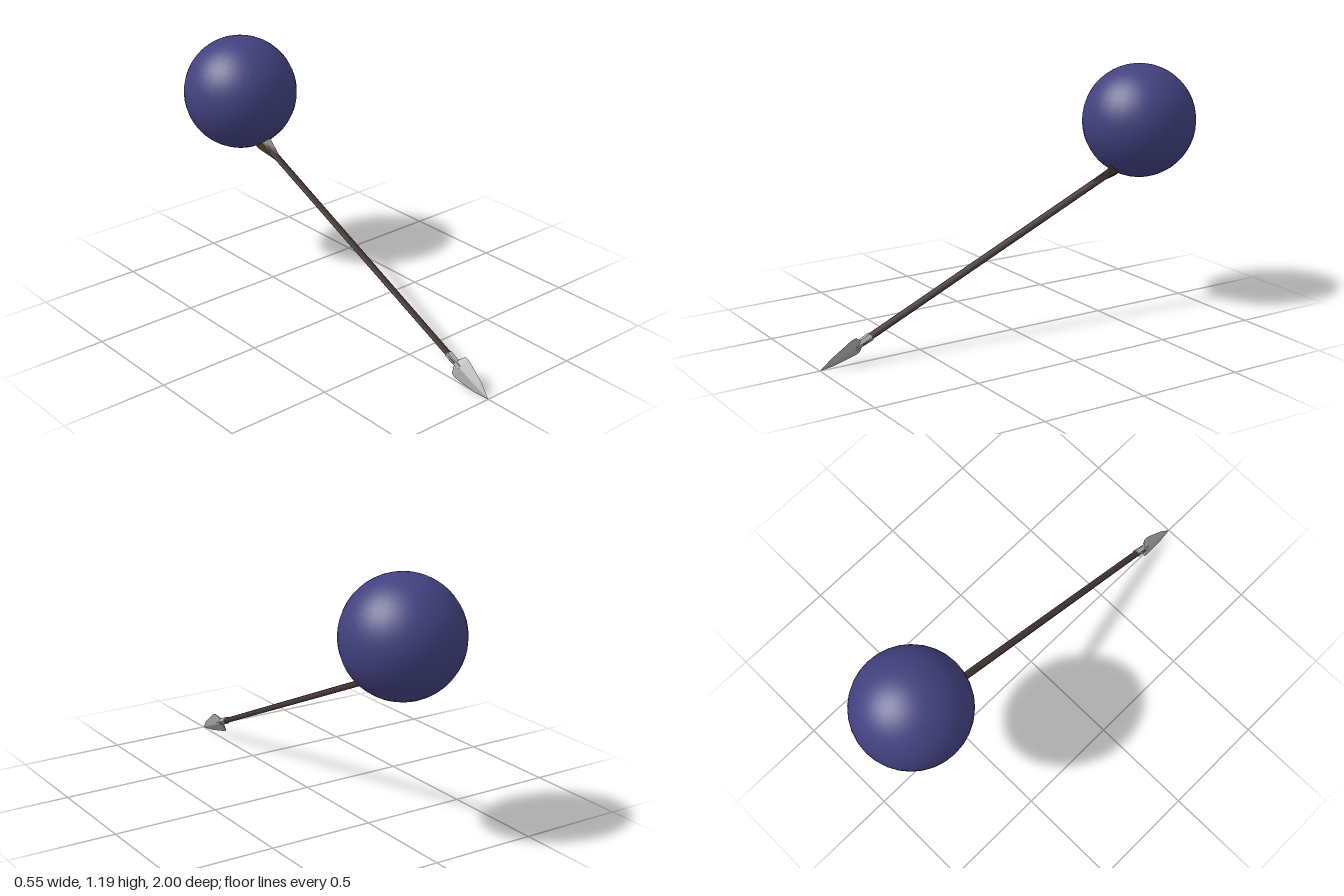
import * as THREE from 'three';

const mat = (name, color, flatShading = false) => {
  const m = new THREE.MeshStandardMaterial({ color, flatShading });
  m.name = name;
  return m;
};

// Loft of diamond cross-sections [s, halfWidthX, halfHeightY], running back along -z.
function loftDiamond(sections) {
  const pos = [];
  const ring = ([s, w, h]) => [[w, 0, -s], [0, h, -s], [-w, 0, -s], [0, -h, -s]];
  for (let i = 0; i < sections.length - 1; i++) {
    const a = ring(sections[i]), b = ring(sections[i + 1]);
    for (let k = 0; k < 4; k++) {
      const j = (k + 1) % 4;
      pos.push(...a[k], ...b[k], ...b[j], ...a[k], ...b[j], ...a[j]);
    }
  }
  const g = new THREE.BufferGeometry();
  g.setAttribute('position', new THREE.Float32BufferAttribute(pos, 3));
  g.computeVertexNormals();
  return g;
}

// Oval rod along -z from distance s0 (radius r0) to s1 (radius r1).
function rod(s0, s1, r0, r1, sides, scaleX, scaleY) {
  const g = new THREE.CylinderGeometry(r0, r1, s1 - s0, sides);
  g.rotateX(Math.PI / 2);
  g.scale(scaleX, scaleY, 1);
  g.translate(0, 0, -(s0 + s1) / 2);
  return g;
}

export function createModel() {
  const model = new THREE.Group();
  model.name = 'orbSpear';

  const orbMat = mat('indigo', 0x42417f);
  const woodMat = mat('dark wood', 0x403532);
  const flareMat = mat('brown', 0x463a2f, true);
  const steelMat = mat('steel', 0xa9acae, true);

  const add = (parent, name, geometry, material) => {
    const m = new THREE.Mesh(geometry, material);
    m.name = name;
    parent.add(m);
    return m;
  };

  // Large smooth ball at the rear end
  add(model, 'ball', new THREE.SphereGeometry(0.273, 32, 24), orbMat)
    .position.set(-0.001, 0.92, -0.727);

  // Spear frame: origin at the tip, +z pointing forward, rolled a little about the shaft
  const spear = new THREE.Group();
  spear.name = 'spear';
  spear.position.set(0, 0, 1);
  spear.lookAt(-0.014, -0.66, 2.48);
  spear.rotateZ(-0.42);
  model.add(spear);

  // Oval shaft, wider across than deep
  add(spear, 'shaft', rod(0.22, 1.85, 0.0145, 0.0165, 8, 1.3, 0.82), woodMat);

  // Narrow flare where the shaft meets the ball
  add(spear, 'shaftFlare', loftDiamond([
    [1.58, 0.016, 0.011], [1.64, 0.021, 0.024], [1.72, 0.025, 0.044], [1.78, 0.025, 0.044], [1.8, 0, 0],
  ]), flareMat);

  // Leaf-shaped blade with a ridge on both sides
  add(spear, 'blade', loftDiamond([
    [0, 0, 0], [0.07, 0.007, 0.028], [0.185, 0.014, 0.054], [0.206, 0.014, 0.05], [0.224, 0.012, 0.012],
  ]), steelMat);
  add(spear, 'bladeSocket', rod(0.19, 0.275, 0.016, 0.02, 6, 1.05, 0.95), steelMat);

  return model;
}
